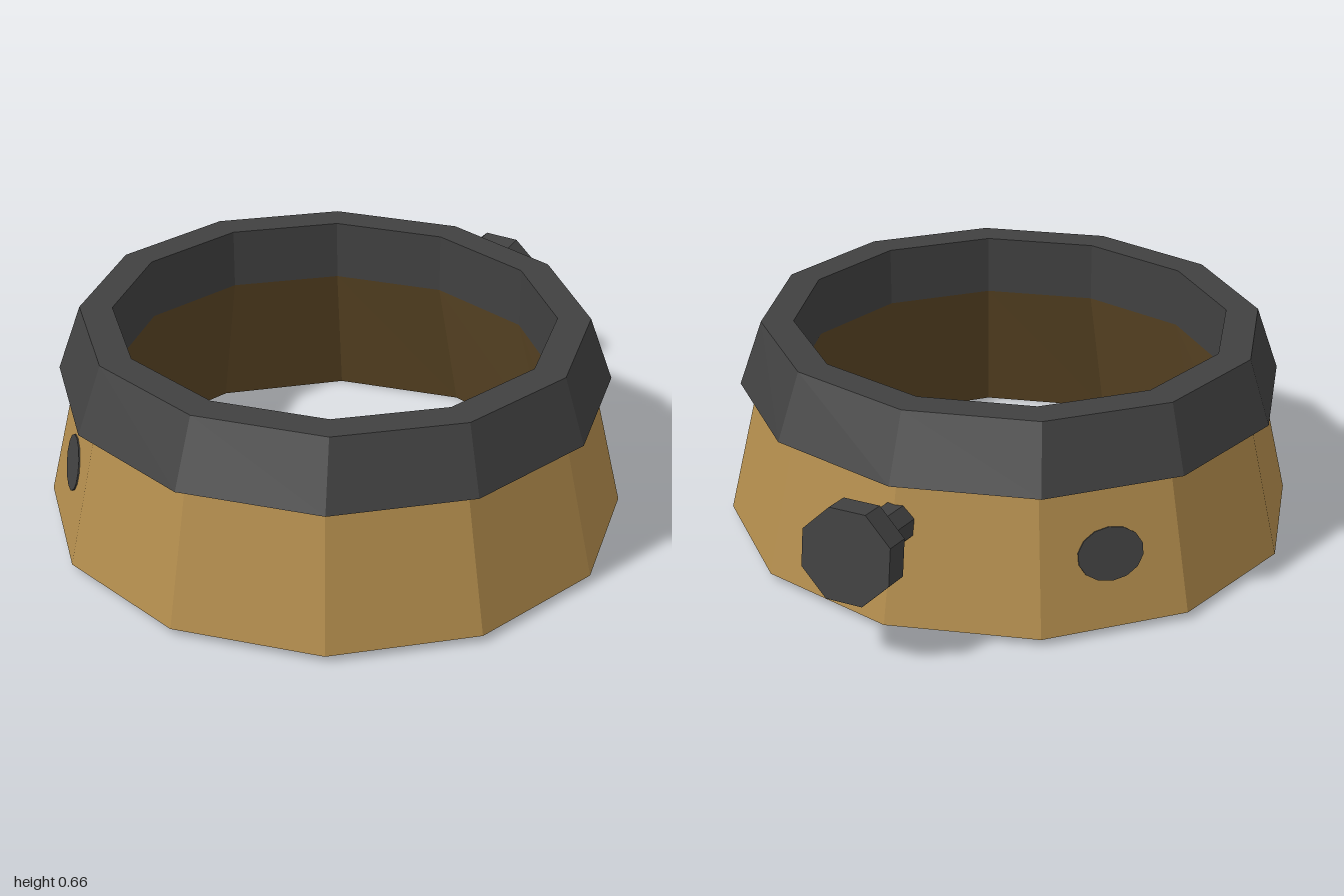
import * as THREE from 'three';

function paint(name, color) {
  const material = new THREE.MeshStandardMaterial({ color });
  material.name = name;
  return material;
}
const wood = paint('tanWood', 0xb38d4d);
const darkWood = paint('darkWood', 0x5e4826);
const iron = paint('darkIron', 0x414141);

// Faceted mesh: every face gets its own normal
function facet(geometry, material, name) {
  const flat = geometry.toNonIndexed();
  flat.computeVertexNormals();
  const mesh = new THREE.Mesh(flat, material);
  mesh.name = name;
  return mesh;
}

// Twelve-sided ring from a profile of [radius, height, depth factor]
function ring(profile, material, name) {
  const g = new THREE.LatheGeometry(profile.map(([r, y]) => new THREE.Vector2(r, y)), 12);
  const p = g.attributes.position;
  for (let i = 0; i < p.count; i++) {
    const [, , depth = 1] = profile[i % profile.length];
    p.setZ(i, p.getZ(i) * depth);
  }
  return facet(g, material, name);
}

// Eight-sided rod along y with flats facing the axes
function octagon(apothem, length, y, name) {
  const r = apothem / Math.cos(Math.PI / 8);
  const g = new THREE.CylinderGeometry(r, r, length, 8);
  g.rotateY(Math.PI / 8);
  g.translate(0, y, 0);
  return facet(g, iron, name);
}

export function createModel() {
  const model = new THREE.Group();
  model.name = 'collaredRing';

  const body = new THREE.Group();
  body.name = 'body';
  body.position.z = 0.115;
  body.scale.z = 0.983;

  // Flared base with a bevelled foot, and its darker lining
  body.add(ring([[0.8, 0], [0.9, 0.022], [0.8, 0.45]], wood, 'flaredBase'));
  body.add(ring([[0.685, 0.468, 0.965], [0.8, 0]], darkWood, 'innerLining'));

  // Heavy collar with a straight bore
  body.add(ring([
    [0.685, 0.468, 0.965], [0.8, 0.445], [0.855, 0.455, 0.993],
    [0.787, 0.66, 0.967], [0.685, 0.66, 0.965], [0.685, 0.468, 0.965],
  ], iron, 'collar'));

  // Two oval plugs, flush with the sloping facets on the right side
  for (const angle of [-Math.PI / 4, -3 * Math.PI / 4]) {
    const g = new THREE.CylinderGeometry(1, 1, 0.005, 14);
    g.rotateX(Math.PI / 2);
    g.scale(0.104, 0.082, 1);
    g.rotateX(-0.224);
    g.translate(0, 0.24, 0.822);
    g.rotateY(angle);
    body.add(facet(g, iron, 'plug'));
  }
  model.add(body);

  // Thumbscrew at the back, tilted slightly upward
  const screw = new THREE.Group();
  screw.name = 'thumbscrew';
  screw.add(octagon(0.06, 0.27, -0.155, 'screwShaft'));
  screw.add(octagon(0.138, 0.086, 0, 'screwHead'));
  screw.position.set(0, 0.353, -0.94);
  screw.rotation.x = -Math.PI / 2 + 0.13;
  model.add(screw);

  return model;
}
